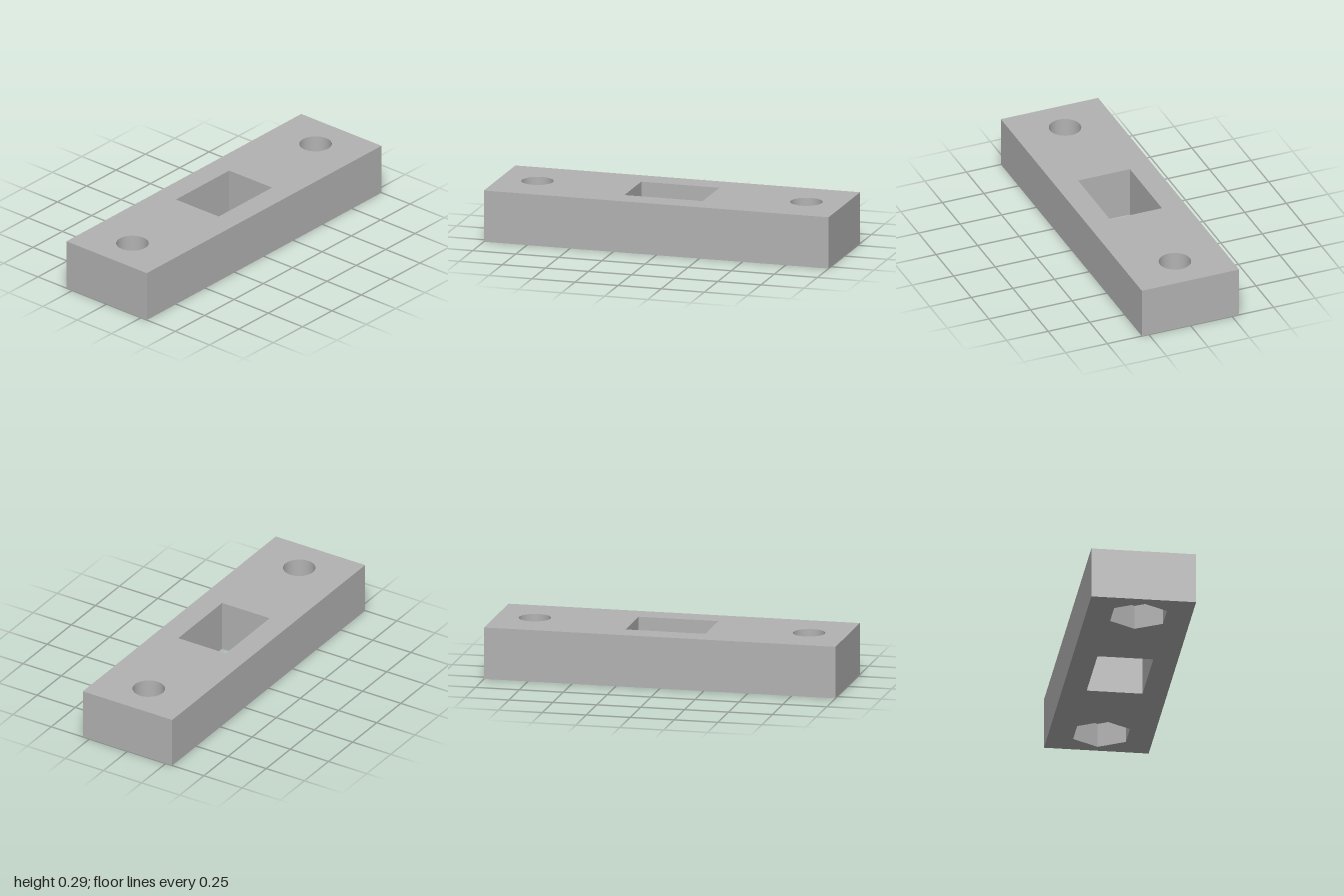
import * as THREE from 'three';

const LENGTH = 2, HEIGHT = 0.293, DEPTH = 0.585;
const SLOT_X = 0.454, SLOT_Z = 0.312;
const HOLE_X = 0.78, HOLE_R = 0.09, HOLE_SIDES = 48;
const NUT_R = 0.17, NUT_DEPTH = 0.14;

// Regular polygon outline with a corner on the x axis
function ring(sides, radius, cx = 0) {
  return Array.from({ length: sides }, (_, i) => {
    const a = (i / sides) * Math.PI * 2;
    return new THREE.Vector2(cx + radius * Math.cos(a), radius * Math.sin(a));
  });
}

function rectangle(w, d) {
  return [[-1, -1], [1, -1], [1, 1], [-1, 1]].map(([x, y]) => new THREE.Vector2(x * w / 2, y * d / 2));
}

// Flat horizontal face with cut-outs, facing up or down
function plate(outline, holes, y, up) {
  const shape = new THREE.Shape(outline);
  shape.holes = holes.map((h) => new THREE.Path(h));
  return new THREE.ShapeGeometry(shape).rotateX(up ? -Math.PI / 2 : Math.PI / 2).translate(0, y, 0);
}

// Open vertical walls between two heights
function roundWall(radius, sides, y0, y1) {
  return new THREE.CylinderGeometry(radius, radius, y1 - y0, sides, 1, true)
    .rotateY(Math.PI / 2).translate(0, (y0 + y1) / 2, 0);
}

function flat(geometry) {
  const g = geometry.toNonIndexed();
  g.computeVertexNormals();
  return g;
}

function rectWall(w, d) {
  const g = new THREE.CylinderGeometry(Math.SQRT1_2, Math.SQRT1_2, HEIGHT, 4, 1, true);
  return flat(g.rotateY(Math.PI / 4).scale(w, 1, d).translate(0, HEIGHT / 2, 0));
}

export function createModel() {
  const group = new THREE.Group();
  const grey = new THREE.MeshStandardMaterial({ color: 0xb2b2b2, side: THREE.DoubleSide });
  grey.name = 'grey';

  const add = (name, geometry, x = 0) => {
    const mesh = new THREE.Mesh(geometry, grey);
    mesh.name = name;
    mesh.position.x = x;
    group.add(mesh);
  };

  // Block shell and central rectangular slot
  const block = rectangle(LENGTH, DEPTH);
  const slot = rectangle(SLOT_X, SLOT_Z);
  const cutouts = (sides, r) => [slot, ring(sides, r, -HOLE_X), ring(sides, r, HOLE_X)];
  add('topFace', plate(block, cutouts(HOLE_SIDES, HOLE_R), HEIGHT, true));
  add('bottomFace', plate(block, cutouts(6, NUT_R), 0, false));
  add('outerWalls', rectWall(LENGTH, DEPTH));
  add('slotWalls', rectWall(SLOT_X, SLOT_Z));

  // Bolt holes with hexagonal nut pockets underneath
  for (const [side, x] of [['left', HOLE_X], ['right', -HOLE_X]]) {
    add(side + 'BoltHole', roundWall(HOLE_R, HOLE_SIDES, NUT_DEPTH, HEIGHT), x);
    add(side + 'NutPocketWalls', flat(roundWall(NUT_R, 6, 0, NUT_DEPTH)), x);
    add(side + 'NutPocketCeiling', plate(ring(6, NUT_R), [ring(HOLE_SIDES, HOLE_R)], NUT_DEPTH, false), x);
  }
  return group;
}
